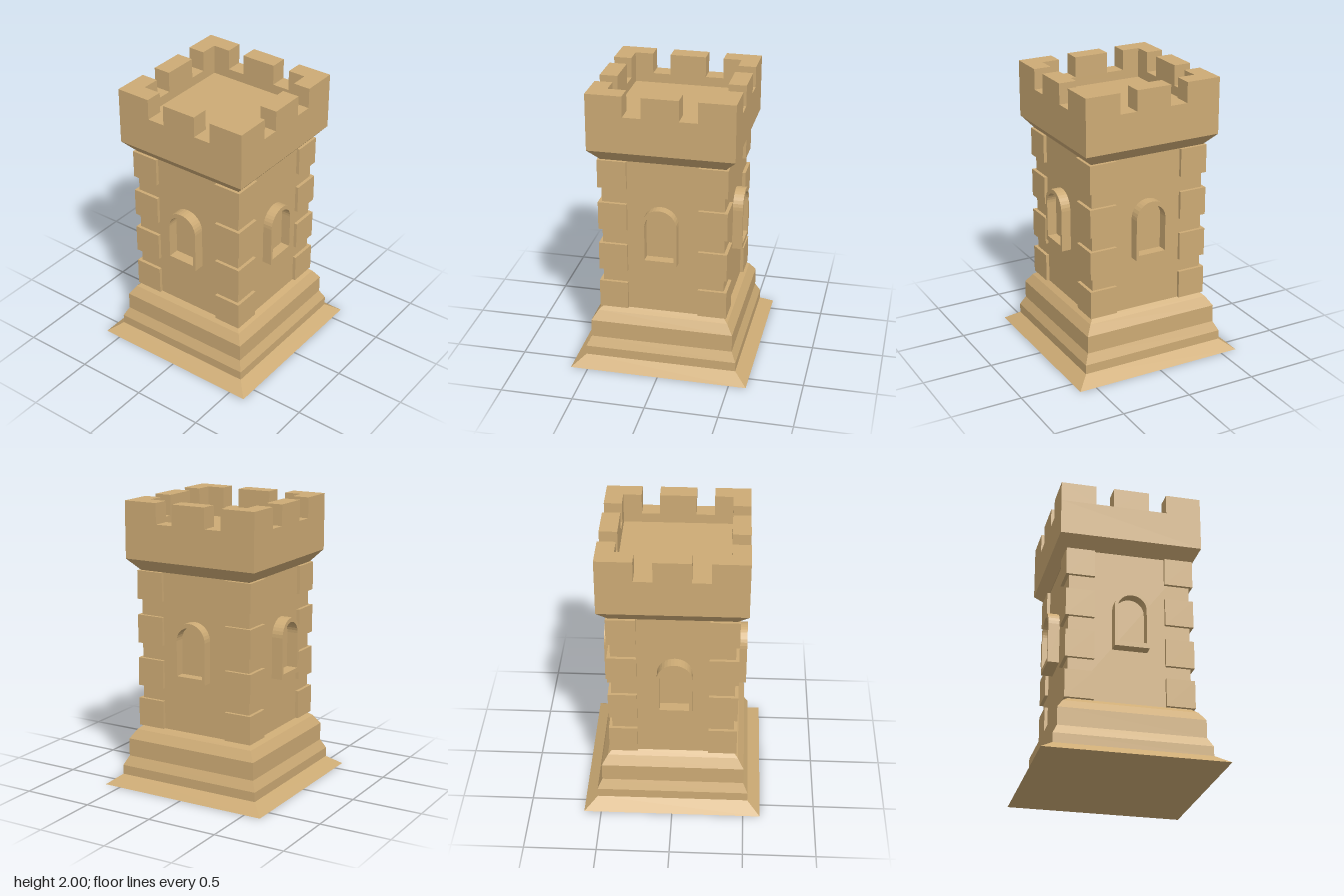
import * as THREE from 'three';

const stone = new THREE.MeshStandardMaterial({ color: 0xcdab75, flatShading: true });

function add(parent, name, geometry, x = 0, y = 0, z = 0) {
  const mesh = new THREE.Mesh(geometry, stone);
  mesh.name = name;
  mesh.position.set(x, y, z);
  parent.add(mesh);
  return mesh;
}

// Square body swept from a profile of [half width, height] pairs
function squareLathe(profile) {
  const points = profile.map(([w, y]) => new THREE.Vector2(w * Math.SQRT2, y));
  const geometry = new THREE.LatheGeometry(points, 4, Math.PI / 4).toNonIndexed();
  geometry.computeVertexNormals();
  return geometry;
}

// Round-topped outline
function archPath(path, halfWidth, bottom, spring) {
  path.moveTo(-halfWidth, bottom);
  path.lineTo(halfWidth, bottom);
  path.lineTo(halfWidth, spring);
  path.absarc(0, spring, halfWidth, 0, Math.PI, false);
  path.closePath();
  return path;
}

function windowFrame(depth) {
  const shape = archPath(new THREE.Shape(), 0.12, 0.8, 1.09);
  shape.holes.push(archPath(new THREE.Path(), 0.1, 0.835, 1.08));
  return new THREE.ExtrudeGeometry(shape, { depth, bevelEnabled: false, curveSegments: 8 });
}

export function createModel() {
  const tower = new THREE.Group();
  tower.name = 'tower';

  // Stepped foot
  add(tower, 'base', squareLathe([
    [0, 0], [0.62, 0], [0.53, 0.067], [0.53, 0.133], [0.497, 0.2],
    [0.497, 0.325], [0.455, 0.39], [0.42, 0.42], [0, 0.42],
  ]));

  // Plain shaft
  add(tower, 'shaft', new THREE.BoxGeometry(0.84, 1.11, 0.84), 0, 0.97, 0);

  // Flared parapet with sunken roof floor
  add(tower, 'parapet', squareLathe([
    [0, 1.523], [0.425, 1.523], [0.497, 1.605], [0.497, 1.857],
    [0.375, 1.857], [0.375, 1.79], [0, 1.79],
  ]));

  // L-shaped corner merlon, outer corner at +x, lying flat
  const corner = new THREE.Shape([
    [0.497, 0.497], [0.25, 0.497], [0.25, 0.375], [0.375, 0.375], [0.375, 0.25], [0.497, 0.25],
  ].map(([x, y]) => new THREE.Vector2(x, y)));
  const cornerGeometry = new THREE.ExtrudeGeometry(corner, { depth: 0.143, bevelEnabled: false });
  cornerGeometry.rotateX(-Math.PI / 2);

  const blockGeometry = new THREE.BoxGeometry(0.198, 0.198, 0.198);
  const quoinHeights = [0.521, 0.81, 1.114, 1.422];

  // Each side: front, left, back, right
  const sides = ['front', 'left', 'back', 'right'];
  const windowShift = [-0.013, 0, 0.013, 0];
  const windowReach = [0.488, 0.49, 0.5, 0.497];
  sides.forEach((sideName, i) => {
    const side = new THREE.Group();
    side.name = sideName + 'Side';
    side.rotation.y = i * Math.PI / 2;
    tower.add(side);

    add(side, 'cornerMerlon', cornerGeometry, 0, 1.857, 0);
    add(side, 'middleMerlon', new THREE.BoxGeometry(0.25, 0.143, 0.122), 0, 1.9285, 0.436);
    add(side, 'windowFrame', windowFrame(windowReach[i] - 0.41), windowShift[i], 0, 0.41);

    // Corner stones
    for (const y of quoinHeights) add(side, 'cornerStone', blockGeometry, 0.344, y, 0.344);
  });

  return tower;
}
